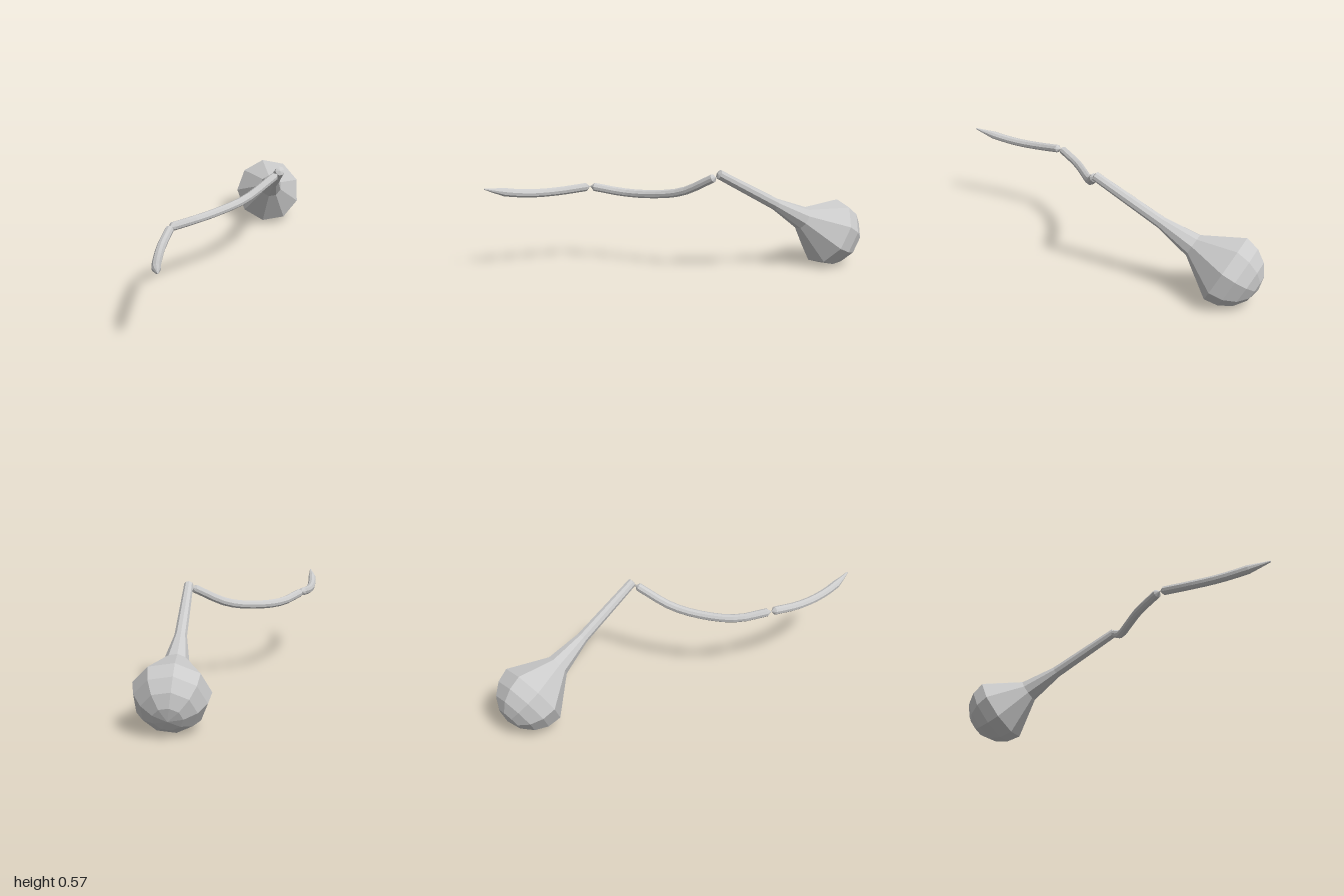
import * as THREE from 'three';

const SIDES = 9;
const UP = new THREE.Vector3(0, 1, 0);
const material = new THREE.MeshStandardMaterial({ color: 0xcccccc, flatShading: true });

// Skins a row of rings [centre, tangent, radius]; a zero radius closes to a point.
function loft(name, rings, phase = 0) {
  const corner = ([centre, tangent, radius], k) => {
    const u = UP.clone().addScaledVector(tangent, -UP.dot(tangent)).normalize();
    const v = new THREE.Vector3().crossVectors(tangent, u);
    const a = phase + ((k % SIDES) / SIDES) * Math.PI * 2;
    return centre.clone()
      .addScaledVector(u, radius * Math.cos(a))
      .addScaledVector(v, radius * Math.sin(a));
  };
  const points = [];
  for (let i = 0; i < rings.length - 1; i++) {
    const [r0, r1] = [rings[i], rings[i + 1]];
    for (let k = 0; k < SIDES; k++) {
      const a = corner(r0, k), b = corner(r0, k + 1);
      const c = corner(r1, k), d = corner(r1, k + 1);
      if (r0[2] > 0) points.push(a, b, c);
      if (r1[2] > 0) points.push(b, d, c);
    }
  }
  const geometry = new THREE.BufferGeometry().setFromPoints(points);
  geometry.computeVertexNormals();
  const mesh = new THREE.Mesh(geometry, material);
  mesh.name = name;
  return mesh;
}

// Curved rod with shallow pointed ends; stops are [t, radius].
function rod(name, path, steps, radiusAt, startCap, endCap) {
  const curve = new THREE.CatmullRomCurve3(path.map((p) => new THREE.Vector3(...p)));
  const rings = [];
  for (let i = 0; i <= steps; i++) {
    const t = i / steps;
    rings.push([curve.getPointAt(t), curve.getTangentAt(t), radiusAt(t)]);
  }
  const first = rings[0], last = rings[steps];
  rings.unshift([first[0].clone().addScaledVector(first[1], -startCap), first[1], 0]);
  rings.push([last[0].clone().addScaledVector(last[1], endCap), last[1], 0]);
  return loft(name, rings);
}

export function createModel() {
  const group = new THREE.Group();

  // Straight flaring stem that opens into a domed bulb
  const start = new THREE.Vector3(0.21, 0.56, -0.18);
  const bulbCentre = new THREE.Vector3(-0.05, 0.19, -0.81);
  const axis = bulbCentre.clone().sub(start);
  const length = axis.length();
  axis.normalize();
  const bulbRadius = 0.185;
  const profile = [[-0.008, 0], [0, 0.024], [0.51 * length, 0.031], [0.755 * length, 0.062]];
  for (let i = 0; i <= 4; i++) {
    const a = (i / 4) * Math.PI / 2;
    profile.push([length + bulbRadius * Math.sin(a), i === 4 ? 0 : bulbRadius * Math.cos(a)]);
  }
  group.add(loft('stemAndBulb',
    profile.map(([d, r]) => [start.clone().addScaledVector(axis, d), axis, r]), -0.15));

  // Middle curved rod
  group.add(rod('middleRod', [
    [0.19, 0.537, -0.153], [0.08, 0.45, -0.01], [-0.02, 0.42, 0.13],
    [-0.105, 0.417, 0.28], [-0.145, 0.442, 0.435],
  ], 12, () => 0.022, 0.018, 0.022));

  // Front curved rod, narrowing to a thin tip
  const tipRadius = (t) => (t < 0.8 ? 0.022 : THREE.MathUtils.lerp(0.022, 0.004, (t - 0.8) / 0.2));
  group.add(rod('frontRod', [
    [-0.145, 0.442, 0.478], [-0.12, 0.427, 0.63], [-0.08, 0.427, 0.77],
    [-0.03, 0.446, 0.9], [0.02, 0.474, 0.997],
  ], 10, tipRadius, 0.022, 0.003));

  return group;
}
